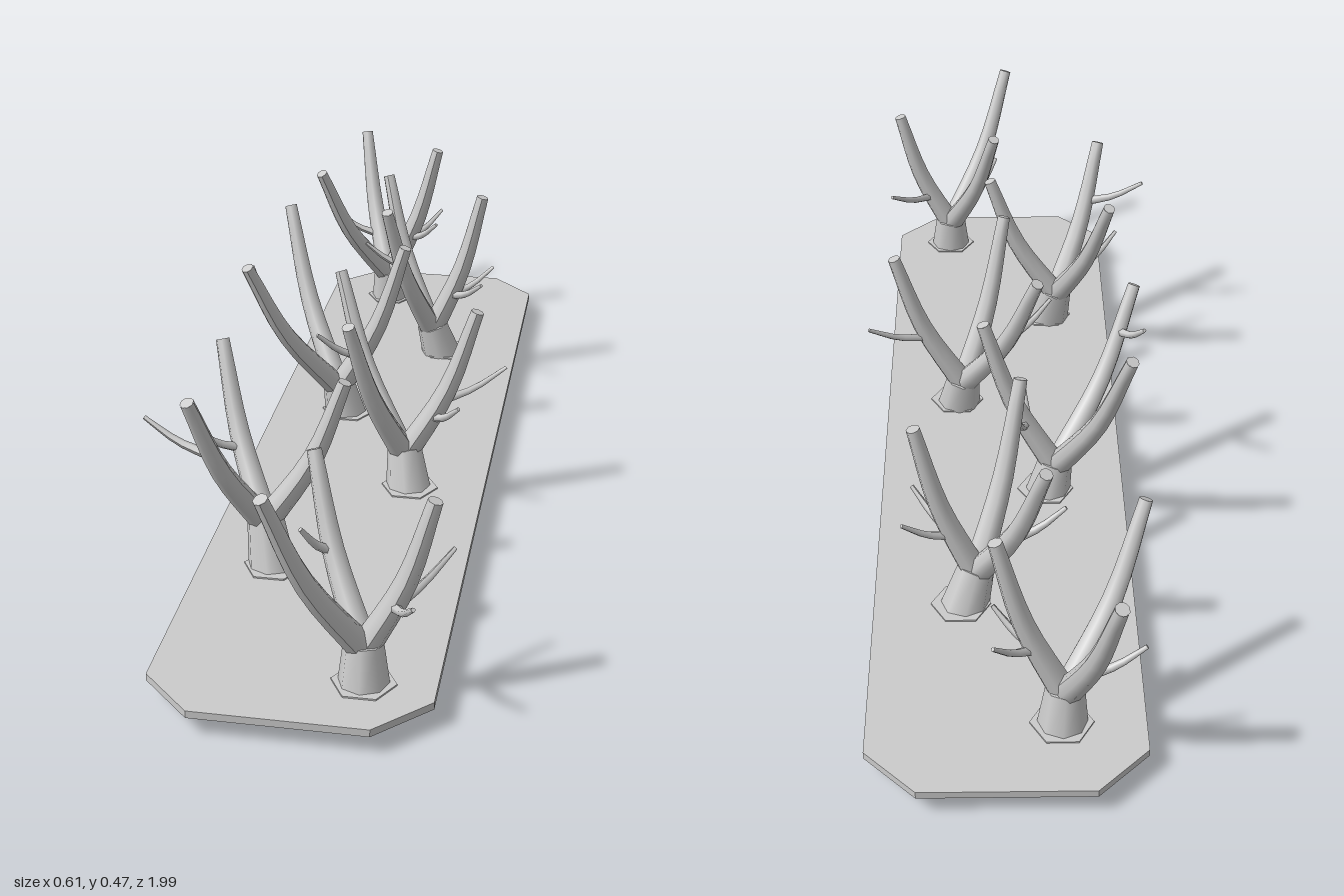
import * as THREE from 'three';

const mat = new THREE.MeshStandardMaterial({ color: 0xcccccc });
const flatMat = new THREE.MeshStandardMaterial({ color: 0xcccccc, flatShading: true });
const V = (a) => new THREE.Vector3(...a);

// Tube that tapers from r0 to r1 along a curve, closed at the far end
function taperedTube(curve, r0, r1, segs, sides) {
  const geo = new THREE.TubeGeometry(curve, segs, 1, sides, false);
  const pos = geo.attributes.position;
  const p = new THREE.Vector3();
  for (let i = 0; i <= segs; i++) {
    const c = curve.getPointAt(i / segs);
    const r = r0 + (r1 - r0) * i / segs;
    for (let j = 0; j <= sides; j++) {
      const k = i * (sides + 1) + j;
      p.fromBufferAttribute(pos, k).sub(c).multiplyScalar(r).add(c);
      pos.setXYZ(k, p.x, p.y, p.z);
    }
  }
  geo.computeVertexNormals();
  return geo;
}

function addLimb(group, name, curve, r0, r1, segs, sides) {
  const limb = new THREE.Mesh(taperedTube(curve, r0, r1, segs, sides), mat);
  limb.name = name;
  const cap = new THREE.Mesh(new THREE.CircleGeometry(r1, sides), mat);
  const end = curve.getPointAt(1);
  cap.position.copy(end);
  cap.lookAt(end.clone().add(curve.getTangentAt(1)));
  cap.name = name + 'End';
  group.add(limb, cap);
}

// One plant: collar, leaning trunk, three curved branches, thin twigs
function makePlant({ foot, fork, tips, twigs }) {
  const plant = new THREE.Group();
  plant.name = 'plant';
  const a = V(foot), b = V(fork);

  const collar = new THREE.Mesh(new THREE.CylinderGeometry(0.057, 0.057, 0.033, 6), flatMat);
  collar.position.set(a.x, 0.0365, a.z);
  collar.rotation.y = Math.PI / 2;
  collar.name = 'collar';

  const axis = b.clone().sub(a);
  const trunk = new THREE.Mesh(new THREE.CylinderGeometry(0.035, 0.05, axis.length(), 8), mat);
  trunk.position.copy(a).add(b).multiplyScalar(0.5);
  trunk.quaternion.setFromUnitVectors(new THREE.Vector3(0, 1, 0), axis.normalize());
  trunk.name = 'trunk';
  plant.add(collar, trunk);

  // Branches bow outward, then rise more steeply
  const start = b.clone().setY(b.y - 0.015);
  const curves = tips.map((t) => {
    const tip = V(t);
    const mid = start.clone().lerp(tip, 0.5);
    mid.x += (tip.x - start.x) * 0.1;
    mid.z += (tip.z - start.z) * 0.06;
    mid.y -= 0.01;
    return new THREE.CatmullRomCurve3([start, mid, tip]);
  });
  curves.forEach((c) => addLimb(plant, 'branch', c, 0.026, 0.013, 8, 8));

  // Each twig springs from the nearest branch point below its tip
  for (const t of twigs) {
    const tip = V(t);
    const root = curves.flatMap((c) => c.getPoints(24))
      .filter((p) => p.y < tip.y - 0.05)
      .sort((p, q) => p.distanceTo(tip) - q.distanceTo(tip))[0];
    const mid = root.clone().lerp(tip, 0.5);
    mid.y -= 0.01;
    addLimb(plant, 'twig', new THREE.CatmullRomCurve3([root, mid, tip]), 0.01, 0.004, 5, 6);
  }
  return plant;
}

// Positions from back to front; tips are back, front and side branch
const plants = [
  { foot: [-0.075, 0.015, -0.84], fork: [-0.08, 0.125, -0.83],
    tips: [[-0.16, 0.435, -0.98], [-0.22, 0.42, -0.68], [0.04, 0.445, -0.825]],
    twigs: [[-0.215, 0.255, -0.87], [0.045, 0.27, -0.89], [0.045, 0.27, -0.78]] },
  { foot: [0.105, 0.015, -0.525], fork: [0.075, 0.125, -0.505],
    tips: [[-0.05, 0.44, -0.635], [-0.01, 0.45, -0.355], [0.185, 0.445, -0.505]],
    twigs: [[-0.09, 0.3, -0.55], [0.21, 0.26, -0.55], [0.195, 0.26, -0.43]] },
  { foot: [-0.065, 0.015, -0.17], fork: [-0.085, 0.12, -0.165],
    tips: [[-0.22, 0.465, -0.325], [-0.245, 0.44, -0.005], [0.06, 0.445, -0.16]],
    twigs: [[-0.26, 0.4, -0.115], [-0.01, 0.27, -0.245], [-0.02, 0.26, -0.09]] },
  { foot: [0.12, 0.015, 0.155], fork: [0.105, 0.125, 0.13],
    tips: [[-0.05, 0.445, -0.01], [0.015, 0.445, 0.27], [0.245, 0.43, 0.12]],
    twigs: [[-0.08, 0.345, 0.095], [0.3, 0.29, 0.065], [0.22, 0.25, 0.19]] },
  { foot: [-0.085, 0.015, 0.505], fork: [-0.107, 0.14, 0.475],
    tips: [[-0.215, 0.43, 0.33], [-0.205, 0.44, 0.63], [0.045, 0.425, 0.47]],
    twigs: [[-0.305, 0.37, 0.56], [-0.24, 0.3, 0.46]] },
  { foot: [0.145, 0.015, 0.85], fork: [0.143, 0.125, 0.84],
    tips: [[0.035, 0.41, 0.705], [0.005, 0.46, 0.98], [0.26, 0.405, 0.84]],
    twigs: [[0.28, 0.25, 0.72], [0.24, 0.26, 0.94], [0.03, 0.31, 0.805]] },
];

export function createModel() {
  const model = new THREE.Group();
  model.name = 'plantedBoard';

  // Thin board with clipped corners
  const [x0, x1, z0, z1, c] = [-0.225, 0.27, -1, 0.98, 0.093];
  const outline = new THREE.Shape([
    [x0 + c, -z1], [x1 - c, -z1], [x1, -z1 + c], [x1, -z0 - c],
    [x1 - c, -z0], [x0 + c, -z0], [x0, -z0 - c], [x0, -z1 + c],
  ].map((p) => new THREE.Vector2(...p)));
  const boardGeo = new THREE.ExtrudeGeometry(outline, { depth: 0.014, bevelEnabled: false });
  const board = new THREE.Mesh(boardGeo.rotateX(-Math.PI / 2), flatMat);
  board.position.y = 0.036;
  board.name = 'board';
  model.add(board);

  plants.forEach((p) => model.add(makePlant(p)));
  return model;
}
